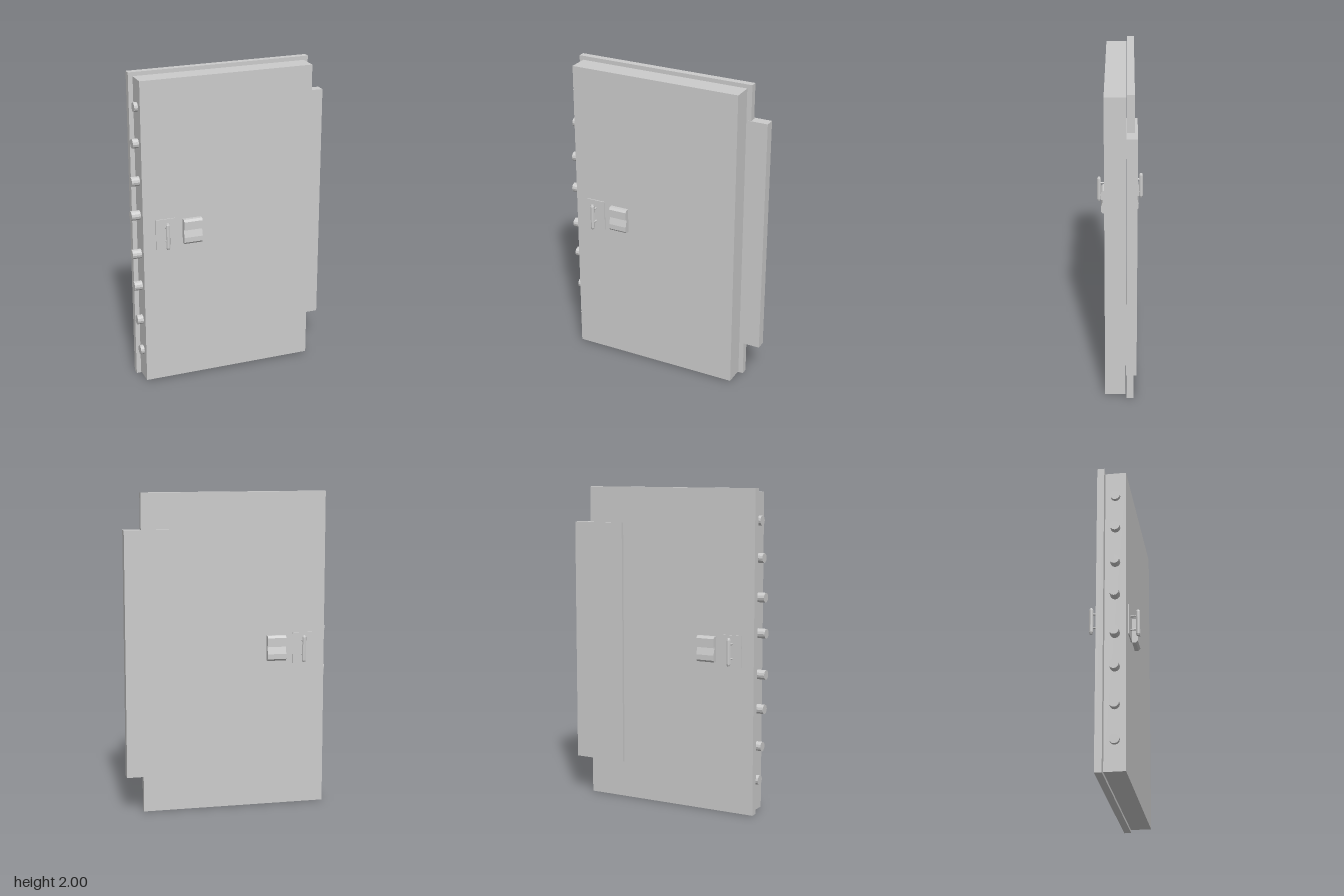
import * as THREE from 'three';

const material = new THREE.MeshStandardMaterial({ color: 0xcccccc, flatShading: true });

function mesh(name, geometry, x = 0, y = 0, z = 0) {
  const m = new THREE.Mesh(geometry, material);
  m.name = name;
  m.position.set(x, y, z);
  return m;
}

// Box given by its limits on each axis
function slab(name, x0, x1, y0, y1, z0, z1) {
  return mesh(name, new THREE.BoxGeometry(x1 - x0, y1 - y0, z1 - z0),
    (x0 + x1) / 2, (y0 + y1) / 2, (z0 + z1) / 2);
}

// Pull handle on a thin plate, mounted on z = 0 and facing +z
function createHandle() {
  const g = new THREE.Group();
  g.add(slab('handlePlate', -0.063, 0.063, -0.098, 0.098, -0.002, 0.007));
  const profile = [[0, -0.088], [0.008, -0.086], [0.013, -0.074],
    [0.013, 0.074], [0.008, 0.086], [0, 0.088]].map(p => new THREE.Vector2(...p));
  g.add(mesh('handleBar', new THREE.LatheGeometry(profile, 8), 0, 0, 0.052));
  for (const y of [-0.045, 0.045]) {
    const post = mesh('handlePost', new THREE.CylinderGeometry(0.006, 0.006, 0.048, 8), 0, y, 0.028);
    post.rotation.x = Math.PI / 2;
    g.add(post);
  }
  return g;
}

// Lock box with bevelled ends and a stepped groove, facing +z
function createLockBox() {
  const shape = new THREE.Shape([[-0.002, -0.08], [0.024, -0.08], [0.035, -0.068],
    [0.035, -0.036], [0.023, 0.008], [0.023, 0.017], [0.035, 0.017],
    [0.035, 0.066], [0.024, 0.08], [-0.002, 0.08]].map(p => new THREE.Vector2(...p)));
  const geometry = new THREE.ExtrudeGeometry(shape, { depth: 0.12, bevelEnabled: false });
  geometry.translate(0, 0, -0.06);
  geometry.rotateY(-Math.PI / 2); // profile depth now runs along +z
  return mesh('lockBox', geometry);
}

export function createModel() {
  const model = new THREE.Group();
  model.name = 'securityDoor';

  // Door leaf, rear cover plate and hinge-side housing
  model.add(slab('doorLeaf', -0.597, 0.516, 0.01, 1.976, -0.041, 0.088));
  model.add(slab('coverPlate', -0.625, 0.546, 0, 2, -0.089, -0.045));
  model.add(slab('hingeHousing', 0.3, 0.653, 0.23, 1.775, -0.107, -0.043));

  // Locking bolts, reaching furthest at mid height
  const heights = [0.2, 0.415, 0.65, 0.865, 1.12, 1.34, 1.58, 1.805];
  const tips = [0.62, 0.635, 0.648, 0.655];
  heights.forEach((y, i) => {
    const tip = tips[Math.min(i, 7 - i)];
    const length = tip - 0.57;
    const bolt = mesh('lockingBolt', new THREE.CylinderGeometry(0.03, 0.03, length, 12),
      -0.57 - length / 2, y, 0.023);
    bolt.rotation.z = Math.PI / 2;
    model.add(bolt);
  });

  // Handle and lock box on both faces
  for (const front of [true, false]) {
    const side = front ? 'front' : 'back';
    const z = front ? 0.088 : -0.089;
    const dx = front ? 0 : -0.026, dy = front ? 0 : 0.016;
    const handle = createHandle();
    handle.name = side + 'Handle';
    handle.position.set(-0.454 + dx, 0.998 + dy, z);
    const lock = createLockBox();
    lock.name = side + 'LockBox';
    lock.position.set(-0.282 + dx, 1.002 + dy, z);
    if (!front) handle.rotation.y = lock.rotation.y = Math.PI;
    model.add(handle, lock);
  }
  return model;
}
